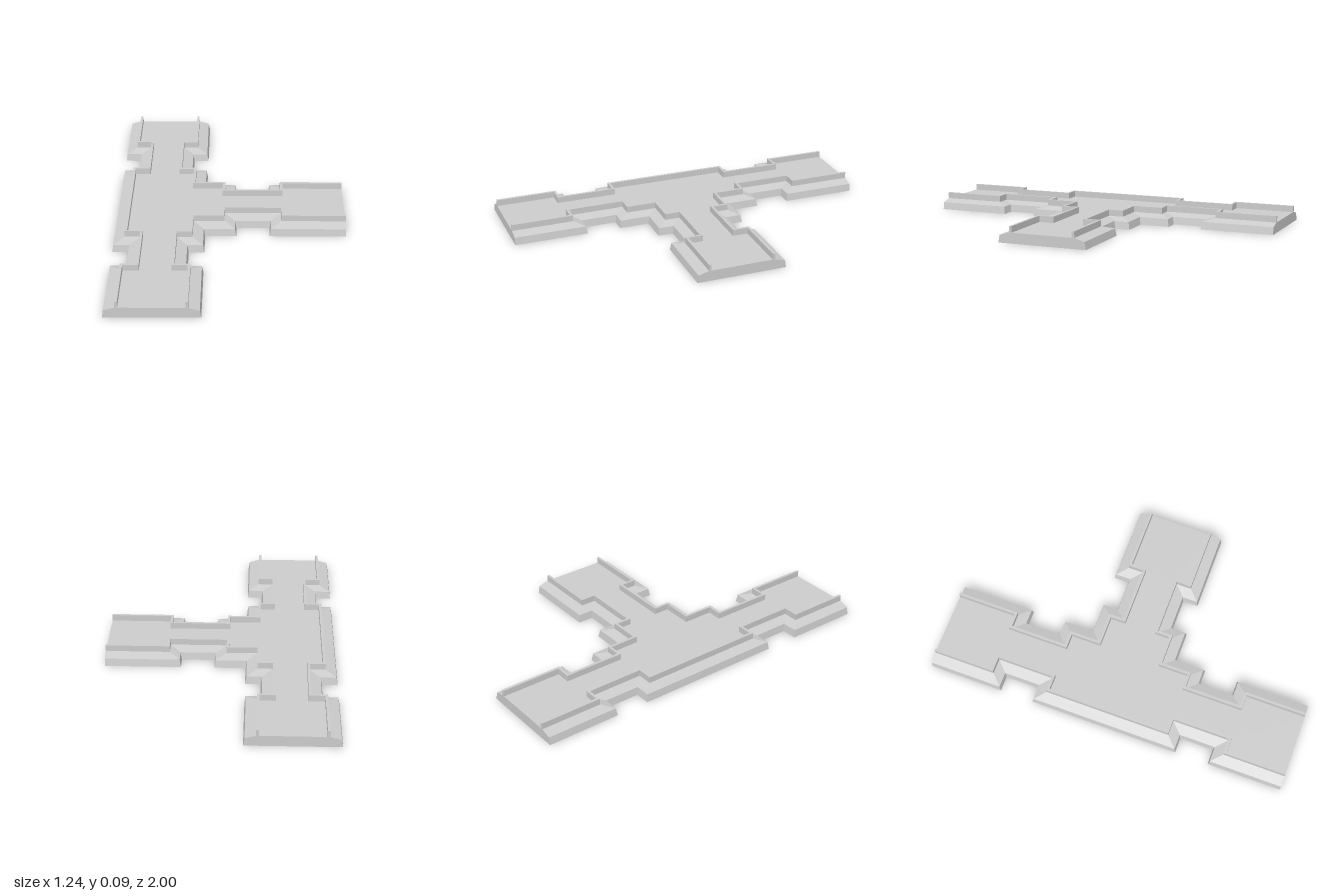
import * as THREE from 'three';

const material = new THREE.MeshStandardMaterial({ color: 0xcccccc, flatShading: true, side: THREE.DoubleSide });
const FLOOR = 0.057;

// Edge cross-section: [inset from the outer edge, height] for skirt, sloped ledge and rail
const profile = [[0, 0], [0.007, 0.041], [0.063, FLOOR], [0.063, 0.091], [0.077, 0.091], [0.077, FLOOR]];

// Outer edge runs as [x, z], going round with the floor on the inward side
const southWest = [[-0.62, 1], [-0.62, 0.595], [-0.537, 0.595], [-0.537, 0.411], [-0.62, 0.411]];
const northEast = [
  [-0.135, -1], [-0.135, -0.595], [-0.217, -0.595], [-0.217, -0.411], [-0.135, -0.411], [-0.135, -0.246],
  [0.032, -0.246], [0.032, -0.163], [0.211, -0.163], [0.211, -0.246], [0.62, -0.246],
];
const mirrorZ = (run) => run.map(([x, z]) => [x, -z]).reverse();
const runs = {
  westEdge: [...southWest, ...mirrorZ(southWest)],
  northEastEdge: northEast,
  southEastEdge: mirrorZ(northEast),
};

// Move a right-angled run inward, mitring its corners
function inset(run, d) {
  const normal = (i) => {
    const dx = run[i + 1][0] - run[i][0], dz = run[i + 1][1] - run[i][1];
    return [-Math.sign(dz), Math.sign(dx)];
  };
  return run.map(([x, z], i) => {
    const a = normal(Math.max(i - 1, 0));
    const b = normal(Math.min(i, run.length - 2));
    const straight = a[0] === b[0] && a[1] === b[1];
    const n = straight ? a : [a[0] + b[0], a[1] + b[1]];
    return [x + n[0] * d, z + n[1] * d];
  });
}

// Sweep the edge profile along a run
function edgeGeometry(run) {
  const rows = profile.map(([d, y]) => inset(run, d).map(([x, z]) => [x, y, z]));
  const positions = [];
  for (let j = 0; j < rows.length - 1; j++) {
    for (let i = 0; i < run.length - 1; i++) {
      const a = rows[j][i], b = rows[j][i + 1], c = rows[j + 1][i + 1], d = rows[j + 1][i];
      positions.push(...a, ...d, ...c, ...a, ...c, ...b);
    }
  }
  const geometry = new THREE.BufferGeometry();
  geometry.setAttribute('position', new THREE.Float32BufferAttribute(positions, 3));
  geometry.computeVertexNormals();
  return geometry;
}

// Upright end wall closing an arm, including the two rail ends
function endGeometry(half) {
  const left = profile.map(([d, y]) => new THREE.Vector2(d - half, y));
  const right = profile.map(([d, y]) => new THREE.Vector2(half - d, y)).reverse();
  return new THREE.ShapeGeometry(new THREE.Shape([...left, ...right]));
}

export function createModel() {
  const group = new THREE.Group();
  group.name = 'corridorJunction';
  const add = (name, geometry) => {
    const mesh = new THREE.Mesh(geometry, material);
    mesh.name = name;
    group.add(mesh);
    return mesh;
  };

  // Skirts, ledges and rails
  for (const [name, run] of Object.entries(runs)) add(name, edgeGeometry(run));

  // Floor between the rails
  const inner = Object.values(runs).flatMap((run) => inset(run, 0.077));
  const floorShape = new THREE.Shape(inner.map(([x, z]) => new THREE.Vector2(x, -z)));
  add('floor', new THREE.ShapeGeometry(floorShape).rotateX(-Math.PI / 2).translate(0, FLOOR, 0));

  // End walls of the three arms
  const ends = [
    ['southEnd', 0.2425, -0.3775, 1, 0],
    ['northEnd', 0.2425, -0.3775, -1, Math.PI],
    ['eastEnd', 0.246, 0.62, 0, Math.PI / 2],
  ];
  for (const [name, half, x, z, turn] of ends) {
    const end = add(name, endGeometry(half));
    end.position.set(x, 0, z);
    end.rotation.y = turn;
  }
  return group;
}
